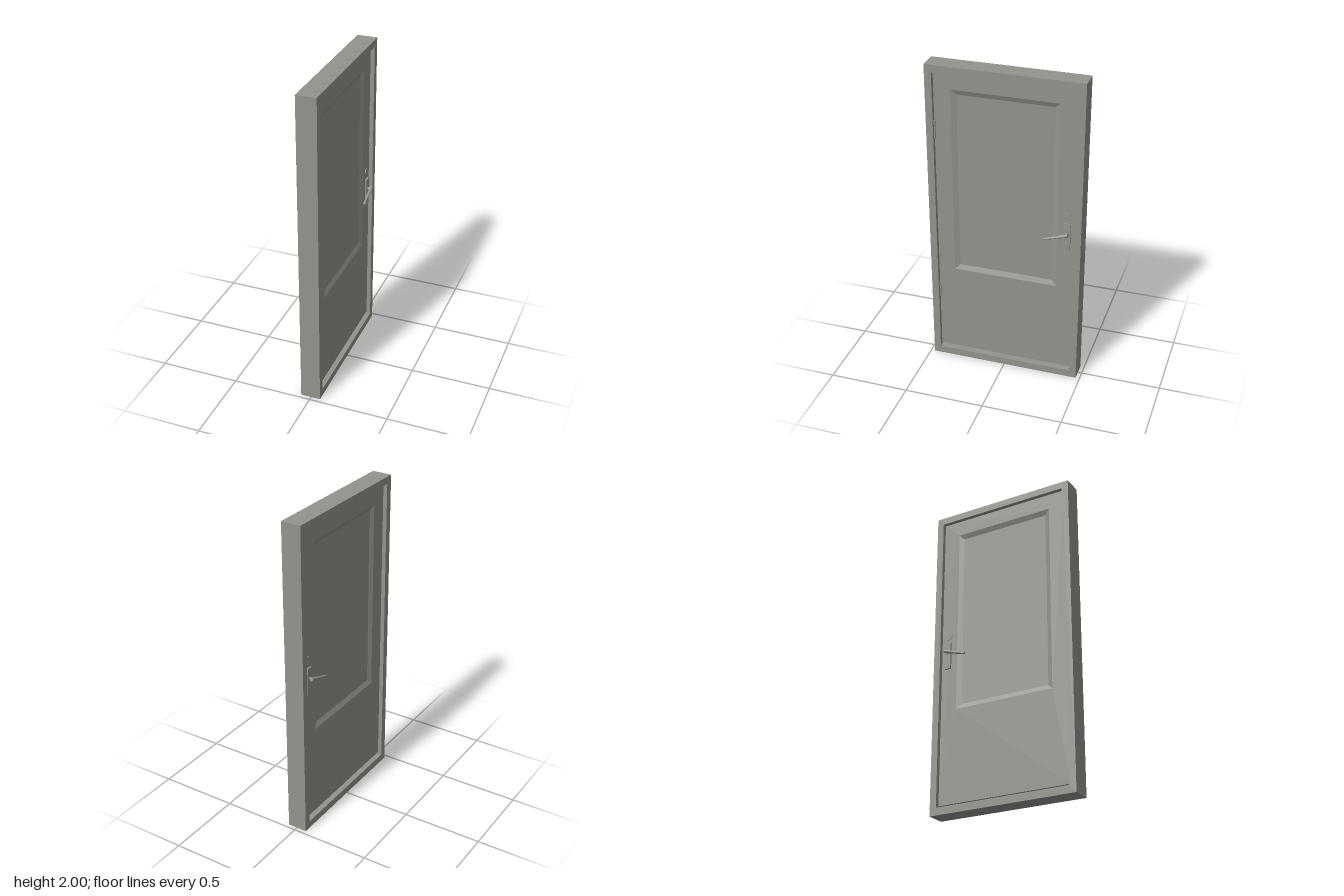
import * as THREE from 'three';

const FRONT = 0.034, BACK = -0.04; // leaf faces along x

// Rectangle in the z-y plane, counter-clockwise seen from +x
function rect(x, z0, z1, y0, y1) {
  return [[x, y0, z1], [x, y0, z0], [x, y1, z0], [x, y1, z1]];
}

// Skin a run of four-cornered loops from +x to -x and cap both ends
function loft(loops) {
  const pos = [];
  const quad = (a, b, c, d) => pos.push(...a, ...b, ...c, ...a, ...c, ...d);
  for (let i = 0; i < loops.length - 1; i++) {
    const A = loops[i], B = loops[i + 1];
    for (let k = 0; k < 4; k++) {
      const n = (k + 1) % 4;
      quad(A[k], B[k], B[n], A[n]);
    }
  }
  quad(...loops[0]);
  quad(...[...loops[loops.length - 1]].reverse());
  const g = new THREE.BufferGeometry();
  g.setAttribute('position', new THREE.Float32BufferAttribute(pos, 3));
  g.computeVertexNormals();
  return g;
}

// Round bar between two points
function bar(a, b, r0, r1, sides = 20) {
  const from = new THREE.Vector3(...a), to = new THREE.Vector3(...b);
  const dir = to.clone().sub(from);
  const g = new THREE.CylinderGeometry(r1, r0, dir.length(), sides);
  g.applyQuaternion(new THREE.Quaternion().setFromUnitVectors(
    new THREE.Vector3(0, 1, 0), dir.normalize()));
  const mid = from.add(to).multiplyScalar(0.5);
  return g.translate(mid.x, mid.y, mid.z);
}

export function createModel() {
  const model = new THREE.Group();
  model.name = 'door';
  const grey = new THREE.MeshStandardMaterial({ color: 0x94938d });
  grey.name = 'grey';
  const add = (name, geometry, parent = model) => {
    const mesh = new THREE.Mesh(geometry, grey);
    mesh.name = name;
    parent.add(mesh);
    return mesh;
  };

  // Surrounding frame with sill
  const outline = new THREE.Shape([[-0.475, 0], [0.475, 0], [0.475, 2], [-0.475, 2]]
    .map(p => new THREE.Vector2(...p)));
  outline.holes.push(new THREE.Path([[-0.432, 0.047], [-0.432, 1.955], [0.432, 1.955], [0.432, 0.047]]
    .map(p => new THREE.Vector2(...p))));
  const frame = new THREE.ExtrudeGeometry(outline, { depth: 0.124, bevelEnabled: false });
  add('frame', frame.rotateY(Math.PI / 2).translate(-0.065, 0, 0));

  // Leaf with a sunken bevelled panel on both faces
  const sunk = 0.013;
  const inner = x => rect(x, -0.292, 0.296, 0.68, 1.822);
  const outer = x => rect(x, -0.324, 0.328, 0.648, 1.853);
  const edge = x => rect(x, -0.431, 0.431, 0.061, 1.954);
  add('leaf', loft([inner(FRONT - sunk), outer(FRONT), edge(FRONT),
    edge(BACK), outer(BACK), inner(BACK + sunk)]));

  // Handle sets on both faces
  for (const [side, face, base, tip] of [[1, FRONT, 0.0655, 0.068], [-1, BACK, -0.069, -0.0705]]) {
    const set = new THREE.Group();
    set.name = side > 0 ? 'leftHandle' : 'rightHandle';
    model.add(set);
    add('handlePlate', new THREE.BoxGeometry(0.012, 0.176, 0.04)
      .translate(face + side * 0.005, 1.01, -0.385), set);
    add('lockRosette', bar([face, 1.145, -0.385], [face + side * 0.004, 1.145, -0.385], 0.026, 0.026, 24), set);
    add('spindle', bar([face, 1.031, -0.385], [base, 1.031, -0.385], 0.008, 0.008), set);
    add('lever', bar([base, 1.034, -0.396], [tip, 0.988, -0.25], 0.011, 0.006), set);
  }

  // Hinge barrels
  for (const y of [0.482, 1.592]) {
    add('hinge', bar([FRONT + 0.003, y - 0.056, 0.43], [FRONT + 0.003, y + 0.056, 0.43], 0.006, 0.006, 16));
  }
  return model;
}
